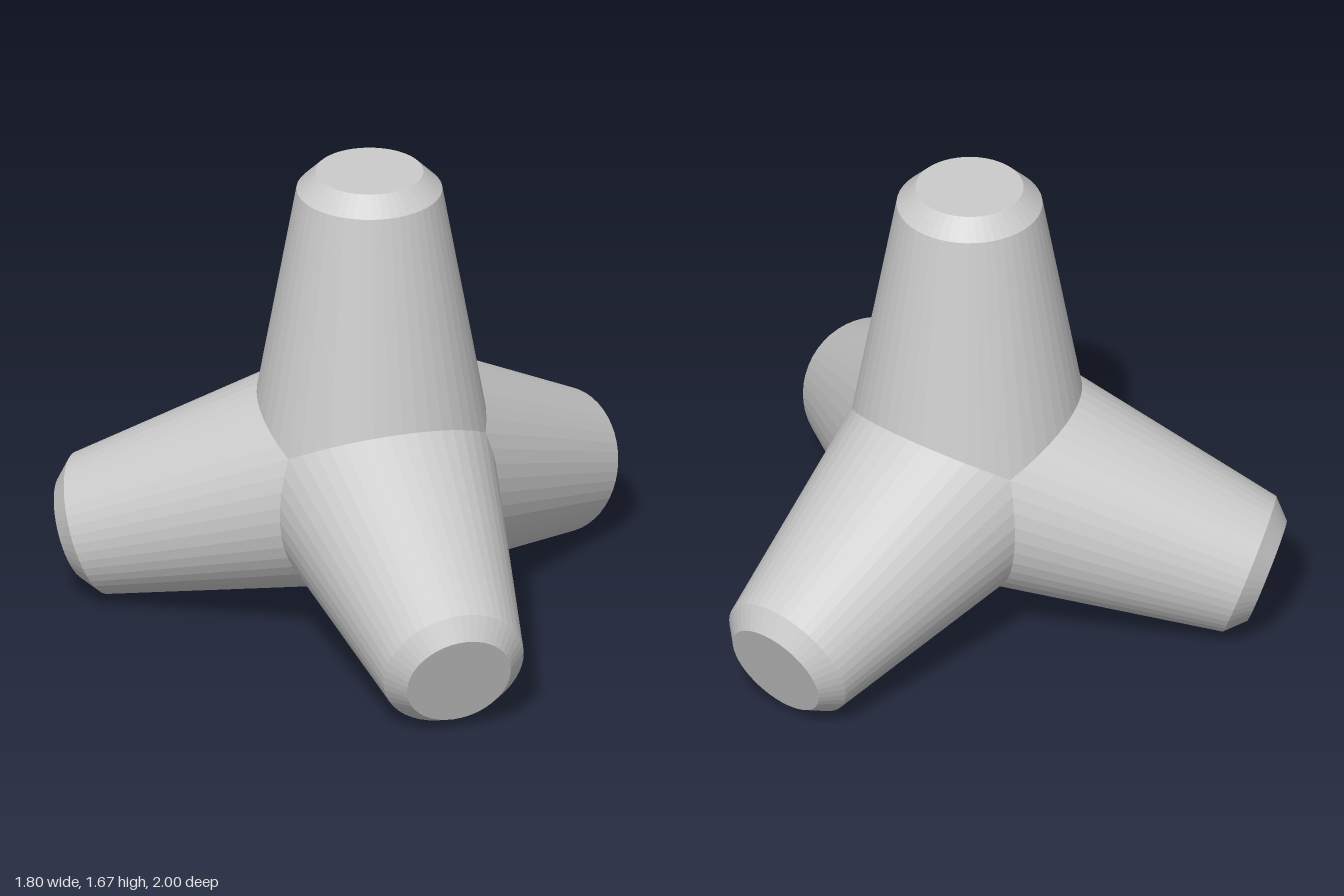
import * as THREE from 'three';

export function createModel() {
  const model = new THREE.Group();
  model.name = 'tetrapod';
  const material = new THREE.MeshStandardMaterial({ color: 0xcccccc, flatShading: true });

  // One tapered leg with a chamfered end, running from the hub centre along +y
  const profile = [[0.433, 0], [0.25, 1.03], [0.185, 1.095], [0, 1.095]];
  const legGeometry = new THREE.LatheGeometry(profile.map(([r, y]) => new THREE.Vector2(r, y)), 48);

  const hub = new THREE.Vector3(-0.195, 0.58, 0);
  const up = new THREE.Vector3(0, 1, 0);

  function addLeg(name, direction) {
    const leg = new THREE.Mesh(legGeometry, material);
    leg.name = name;
    leg.position.copy(hub);
    leg.quaternion.setFromUnitVectors(up, direction.normalize());
    model.add(leg);
  }

  // Upright leg, and three lower legs spread evenly at tetrahedral angles
  addLeg('topLeg', up.clone());
  ['leftLeg', 'frontRightLeg', 'backRightLeg'].forEach((name, i) => {
    const a = (i * Math.PI * 2) / 3;
    const spread = Math.sqrt(8) / 3;
    addLeg(name, new THREE.Vector3(spread * Math.cos(a), -1 / 3, spread * Math.sin(a)));
  });

  return model;
}
